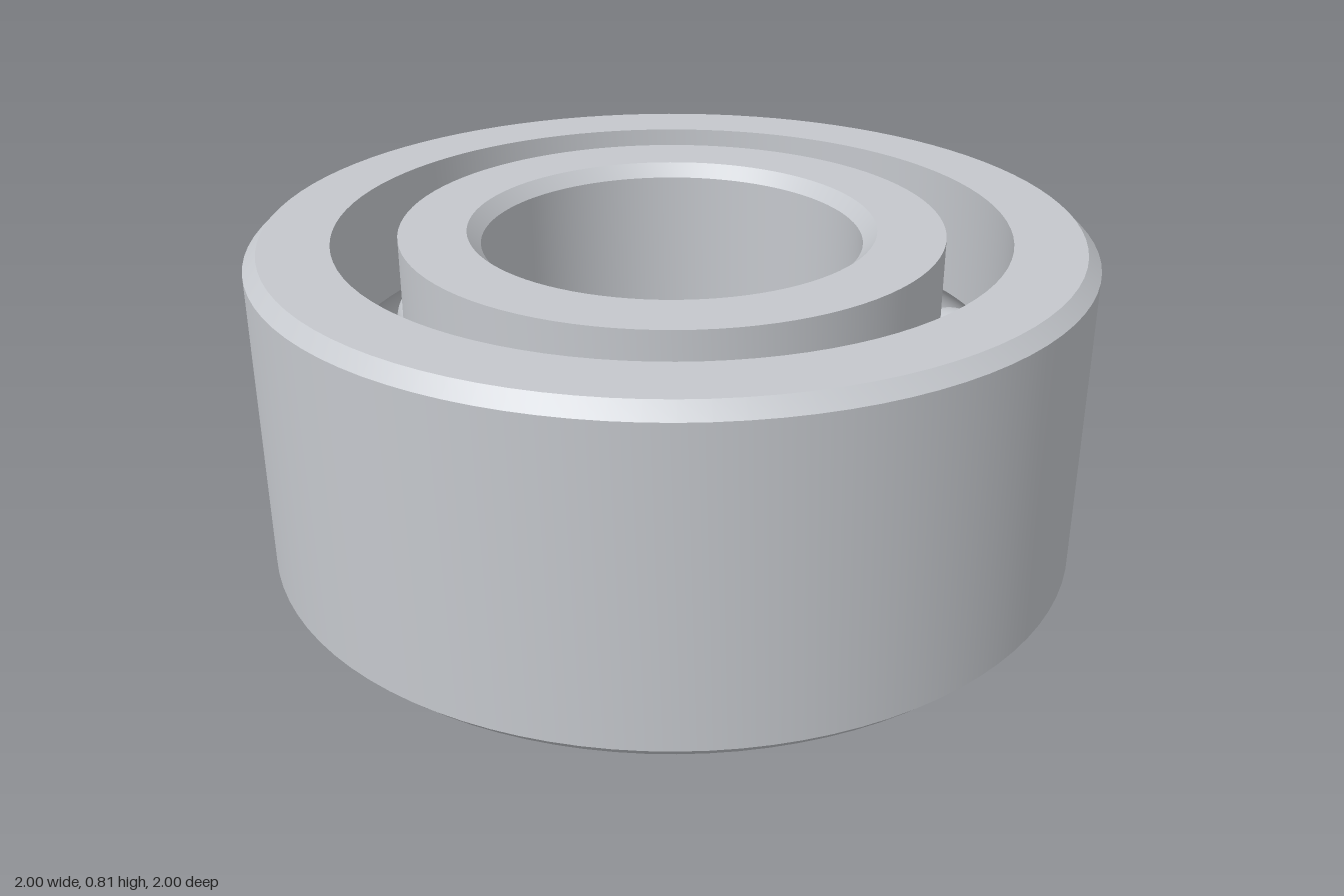
import * as THREE from 'three';
import { toCreasedNormals } from 'three/addons/utils/BufferGeometryUtils.js';

const HEIGHT = 0.805, MID = HEIGHT / 2, BEVEL = 0.032;
const PITCH = 0.725, BALL_RADIUS = 0.119, GROOVE_RADIUS = 0.121, BALLS = 13;
const OUTER = 1, OUTER_INNER = 0.802, INNER_OUTER = 0.648, BORE = 0.455;

// Arc of the ball track, from one angle to another around the ball centre
function groove(from, to, steps = 16) {
  return Array.from({ length: steps + 1 }, (_, i) => {
    const a = from + (to - from) * i / steps;
    return [PITCH + GROOVE_RADIUS * Math.cos(a), MID + GROOVE_RADIUS * Math.sin(a)];
  });
}

// Closed ring from a counter-clockwise cross-section, with sharp edges kept
function ring(name, section, material) {
  const points = [...section, section[0]].map(([r, y]) => new THREE.Vector2(r, y));
  const geometry = toCreasedNormals(new THREE.LatheGeometry(points, 96), 0.5);
  const mesh = new THREE.Mesh(geometry, material);
  mesh.name = name;
  return mesh;
}

export function createModel() {
  const group = new THREE.Group();
  group.name = 'ballBearing';
  const steel = new THREE.MeshStandardMaterial({ color: 0xc5c8cd });
  steel.name = 'steel';

  // Outer race: bevelled outside, track on its inner wall
  const outerAngle = Math.acos((OUTER_INNER - PITCH) / GROOVE_RADIUS);
  group.add(ring('outerRace', [
    [OUTER - BEVEL, 0], [OUTER, BEVEL], [OUTER, HEIGHT - BEVEL], [OUTER - BEVEL, HEIGHT],
    [OUTER_INNER, HEIGHT], ...groove(outerAngle, -outerAngle), [OUTER_INNER, 0],
  ], steel));

  // Inner race: track on its outer wall, bevelled bore
  const innerAngle = Math.acos((PITCH - INNER_OUTER) / GROOVE_RADIUS);
  group.add(ring('innerRace', [
    [INNER_OUTER, 0], ...groove(Math.PI + innerAngle, Math.PI - innerAngle), [INNER_OUTER, HEIGHT],
    [BORE + BEVEL, HEIGHT], [BORE, HEIGHT - BEVEL], [BORE, BEVEL], [BORE + BEVEL, 0],
  ], steel));

  // Balls spaced evenly round the track
  const balls = new THREE.Group();
  balls.name = 'balls';
  const ballGeometry = new THREE.SphereGeometry(BALL_RADIUS, 32, 20);
  for (let i = 0; i < BALLS; i++) {
    const a = i * 2 * Math.PI / BALLS;
    const ball = new THREE.Mesh(ballGeometry, steel);
    ball.name = 'ball' + (i + 1);
    ball.position.set(PITCH * Math.cos(a), MID, PITCH * Math.sin(a));
    balls.add(ball);
  }
  group.add(balls);
  return group;
}
